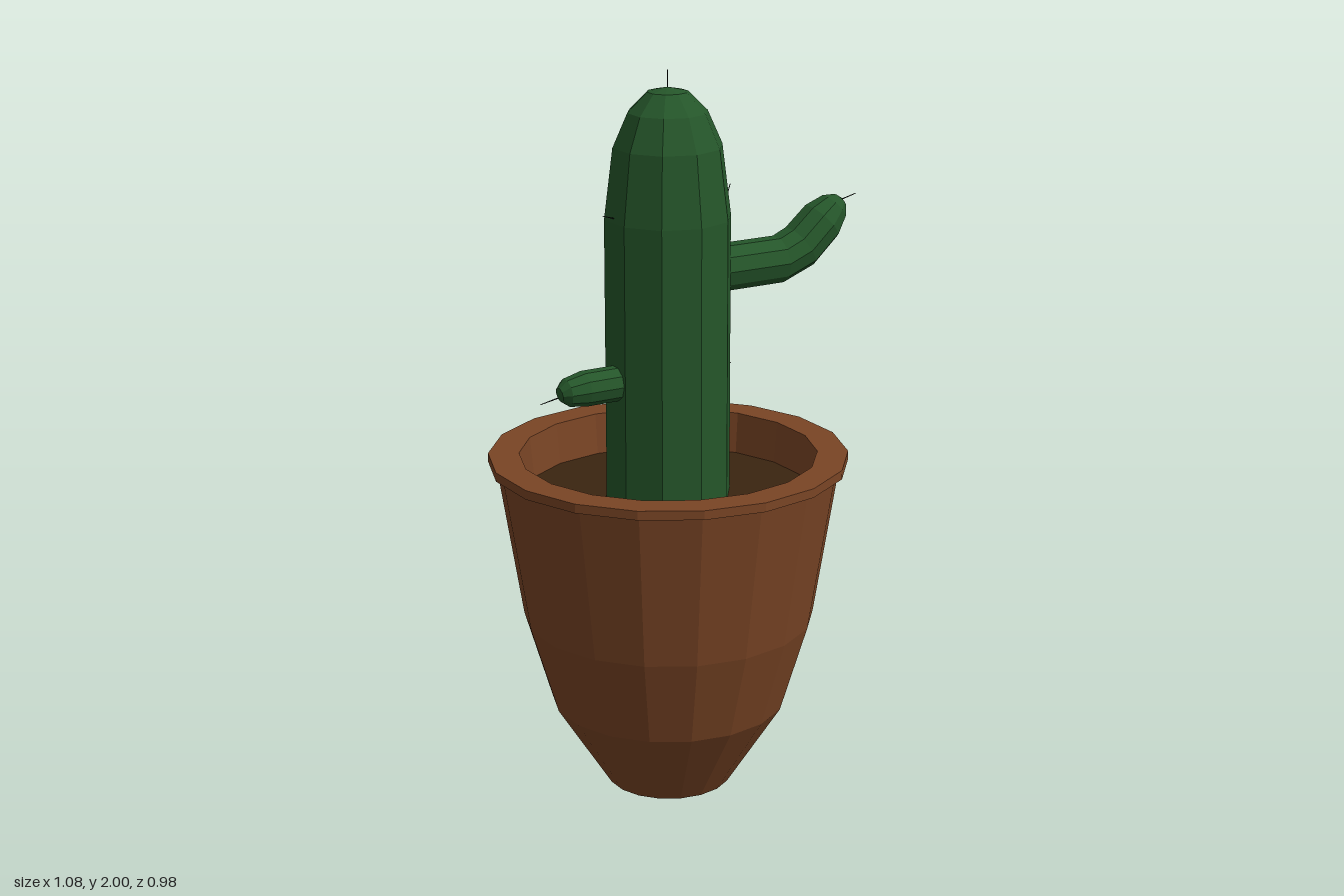
import * as THREE from 'three';

const AXIS_X = -0.06; // pot and trunk share this axis

const material = (name, color) => {
  const m = new THREE.MeshStandardMaterial({ color, flatShading: true });
  m.name = name;
  return m;
};

// Faceted turned solid around the shared axis
function turned(name, profile, sides, mat) {
  const points = profile.map(([r, y]) => new THREE.Vector2(r, y));
  const mesh = new THREE.Mesh(new THREE.LatheGeometry(points, sides), mat);
  mesh.name = name;
  mesh.position.x = AXIS_X;
  return mesh;
}

// Ten-sided limb swept through stations [x, y, radius] in the z = 0 plane
function limb(name, stations, mat) {
  const sides = 10, positions = [], index = [];
  stations.forEach(([x, y, r], i) => {
    const a = stations[Math.max(i - 1, 0)];
    const b = stations[Math.min(i + 1, stations.length - 1)];
    const length = Math.hypot(b[0] - a[0], b[1] - a[1]);
    const nx = -(b[1] - a[1]) / length, ny = (b[0] - a[0]) / length;
    for (let k = 0; k < sides; k++) {
      const t = Math.PI / 2 + (k / sides) * Math.PI * 2;
      positions.push(x + r * Math.cos(t) * nx, y + r * Math.cos(t) * ny, r * Math.sin(t));
      if (i === stations.length - 1) continue;
      const p = i * sides + k, q = i * sides + (k + 1) % sides;
      index.push(p, q, p + sides, q, q + sides, p + sides);
    }
  });
  const geometry = new THREE.BufferGeometry();
  geometry.setAttribute('position', new THREE.Float32BufferAttribute(positions, 3));
  geometry.setIndex(index);
  geometry.computeVertexNormals();
  const mesh = new THREE.Mesh(geometry, mat);
  mesh.name = name;
  return mesh;
}

// Thin needle between two points
function spine(from, to, mat) {
  const a = new THREE.Vector3(...from), b = new THREE.Vector3(...to);
  const dir = b.clone().sub(a);
  const mesh = new THREE.Mesh(new THREE.CylinderGeometry(0.001, 0.002, dir.length(), 5), mat);
  mesh.position.copy(a).add(b).multiplyScalar(0.5);
  mesh.quaternion.setFromUnitVectors(new THREE.Vector3(0, 1, 0), dir.normalize());
  mesh.name = 'spine';
  return mesh;
}

export function createModel() {
  const terracotta = material('terracotta', 0x7a4525);
  const earth = material('earth', 0x3a2410);
  const green = material('cactus green', 0x25562a);
  const black = material('spine black', 0x111411);
  const model = new THREE.Group();
  model.name = 'pottedCactus';

  // Pot: base, flared wall, thin rim and inner wall
  model.add(turned('pot', [
    [0, 0], [0.172, 0], [0.325, 0.24], [0.4, 0.49], [0.47, 0.93],
    [0.49, 0.93], [0.49, 0.955], [0.406, 0.955], [0.393, 0.82],
  ], 18, terracotta));
  model.add(turned('soil', [[0.396, 0.84], [0, 0.84]], 18, earth));

  // Trunk with rounded top
  model.add(turned('trunk', [
    [0.172, 0.82], [0.172, 1.61], [0.148, 1.8], [0.108, 1.89], [0.055, 1.943], [0, 1.955],
  ], 10, green));

  // Arms
  model.add(limb('leftArm', [
    [0.04, 1.45, 0.065], [0.29, 1.45, 0.065], [0.36, 1.478, 0.065], [0.43, 1.54, 0.063],
    [0.47, 1.575, 0.045], [0.49, 1.592, 0.023], [0.496, 1.597, 0],
  ], green));
  model.add(limb('rightArm', [
    [-0.15, 1.175, 0.048], [-0.32, 1.175, 0.048], [-0.372, 1.172, 0.038],
    [-0.392, 1.169, 0.02], [-0.396, 1.168, 0],
  ], green));

  // Scattered spines
  const spines = new THREE.Group();
  spines.name = 'spines';
  [
    [[AXIS_X, 1.94, 0], [AXIS_X, 2, 0]],
    [[-0.2, 1.617, 0], [-0.253, 1.632, -0.007]],
    [[0.085, 1.648, 0.055], [0.131, 1.677, 0.005]],
    [[0.09, 1.188, -0.01], [0.15, 1.172, -0.018]],
    [[-0.38, 1.16, -0.01], [-0.434, 1.14, -0.032]],
    [[0.485, 1.59, 0], [0.54, 1.606, 0.006]],
  ].forEach(([from, to]) => spines.add(spine(from, to, black)));
  model.add(spines);
  return model;
}
